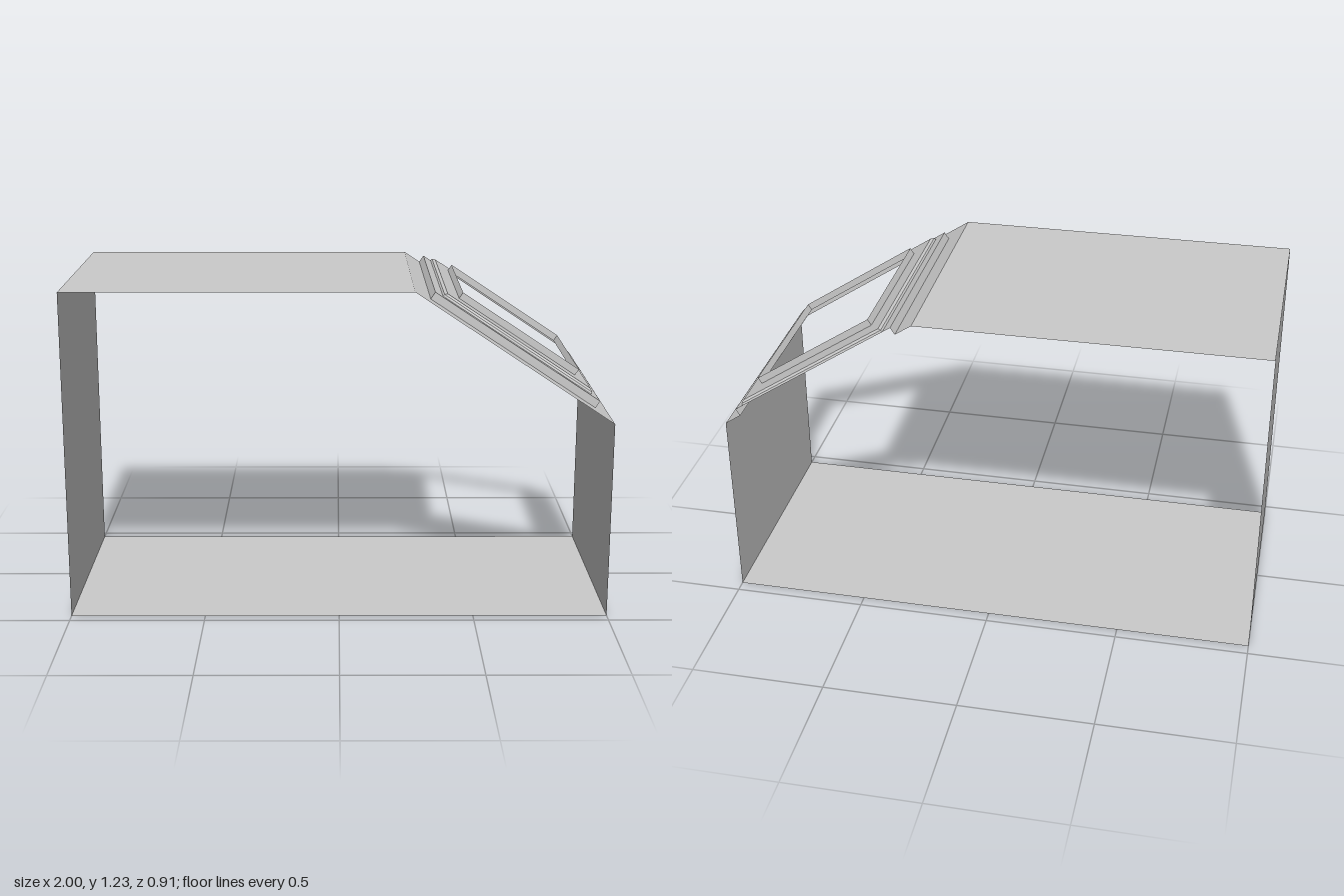
import * as THREE from 'three';

const HALF = 0.455; // half depth of the room
const material = new THREE.MeshStandardMaterial({ color: 0xcccccc, side: THREE.DoubleSide, flatShading: true });

// Mesh from a list of four-cornered faces
function quadMesh(name, quads) {
  const points = quads.flatMap(([a, b, c, d]) => [a, b, c, a, c, d]);
  const geometry = new THREE.BufferGeometry().setFromPoints(points);
  geometry.computeVertexNormals();
  const mesh = new THREE.Mesh(geometry, material);
  mesh.name = name;
  return mesh;
}

// Flat panel running the full depth between two profile points
function panel(name, [x0, y0], [x1, y1]) {
  const v = (x, y, z) => new THREE.Vector3(x, y, z);
  return quadMesh(name, [[v(x0, y0, HALF), v(x1, y1, HALF), v(x1, y1, -HALF), v(x0, y0, -HALF)]]);
}

// Sloped roof frame: u runs down the slope, h stands out from it
const top = new THREE.Vector3(0.27, 1.225, 0);
const eave = new THREE.Vector3(1, 0.74, 0);
const down = eave.clone().sub(top);
const length = down.length();
down.normalize();
const out = new THREE.Vector3(-down.y, down.x, 0);
const onSlope = (u, z, h) => top.clone().addScaledVector(down, u).addScaledVector(out, h).setZ(z);

// Rectangle on the slope: corners ordered front, lower, back, upper side
const rect = (u0, u1, zBack, zFront, h) => [
  onSlope(u0, zFront, h), onSlope(u1, zFront, h), onSlope(u1, zBack, h), onSlope(u0, zBack, h),
];

// Skin successive rectangles; the sides listed in skip stay open
function skin(name, rects, skip = []) {
  const quads = [];
  for (let r = 0; r + 1 < rects.length; r++) {
    for (let i = 0; i < 4; i++) {
      if (skip.includes(i)) continue;
      const j = (i + 1) % 4;
      quads.push([rects[r][i], rects[r][j], rects[r + 1][j], rects[r + 1][i]]);
    }
  }
  return quadMesh(name, quads);
}

export function createModel() {
  const model = new THREE.Group();
  model.name = 'atticRoom';

  // Room shell, open at front and back
  model.add(
    panel('floor', [-1, 0], [1, 0]),
    panel('lowWall', [1, 0], [1, 0.74]),
    panel('ceiling', [0.27, 1.225], [-1, 1.225]),
    panel('highWall', [-1, 1.225], [-1, 0]),
  );

  // Outlines of the stepped skylight, from the slope outwards
  const slope = rect(0, length, -HALF, HALF, 0);
  const outerLow = rect(0.072, 0.804, -HALF, 0.37, 0);
  const outerHigh = rect(0.072, 0.804, -HALF, 0.37, 0.03);
  const innerLow = rect(0.107, 0.769, -HALF, 0.342, 0.03);
  const innerMid = rect(0.109, 0.767, -0.453, 0.34, 0.038);
  const innerHigh = rect(0.119, 0.757, -0.444, 0.33, 0.045);
  const sleeveLow = rect(0.176, 0.7, -0.365, 0.25, 0.045);
  const sleeveHigh = rect(0.176, 0.7, -0.365, 0.25, 0.071);

  // The opening and outer frame run off the back edge of the slope
  const skylight = new THREE.Group();
  skylight.name = 'skylight';
  skylight.add(
    skin('slopedRoof', [slope, outerLow], [2]),
    skin('outerFrame', [outerLow, outerHigh, innerLow], [2]),
    skin('innerFrame', [innerLow, innerMid, innerHigh, sleeveLow]),
    skin('windowSleeve', [sleeveLow, sleeveHigh]),
  );
  model.add(skylight);
  return model;
}
